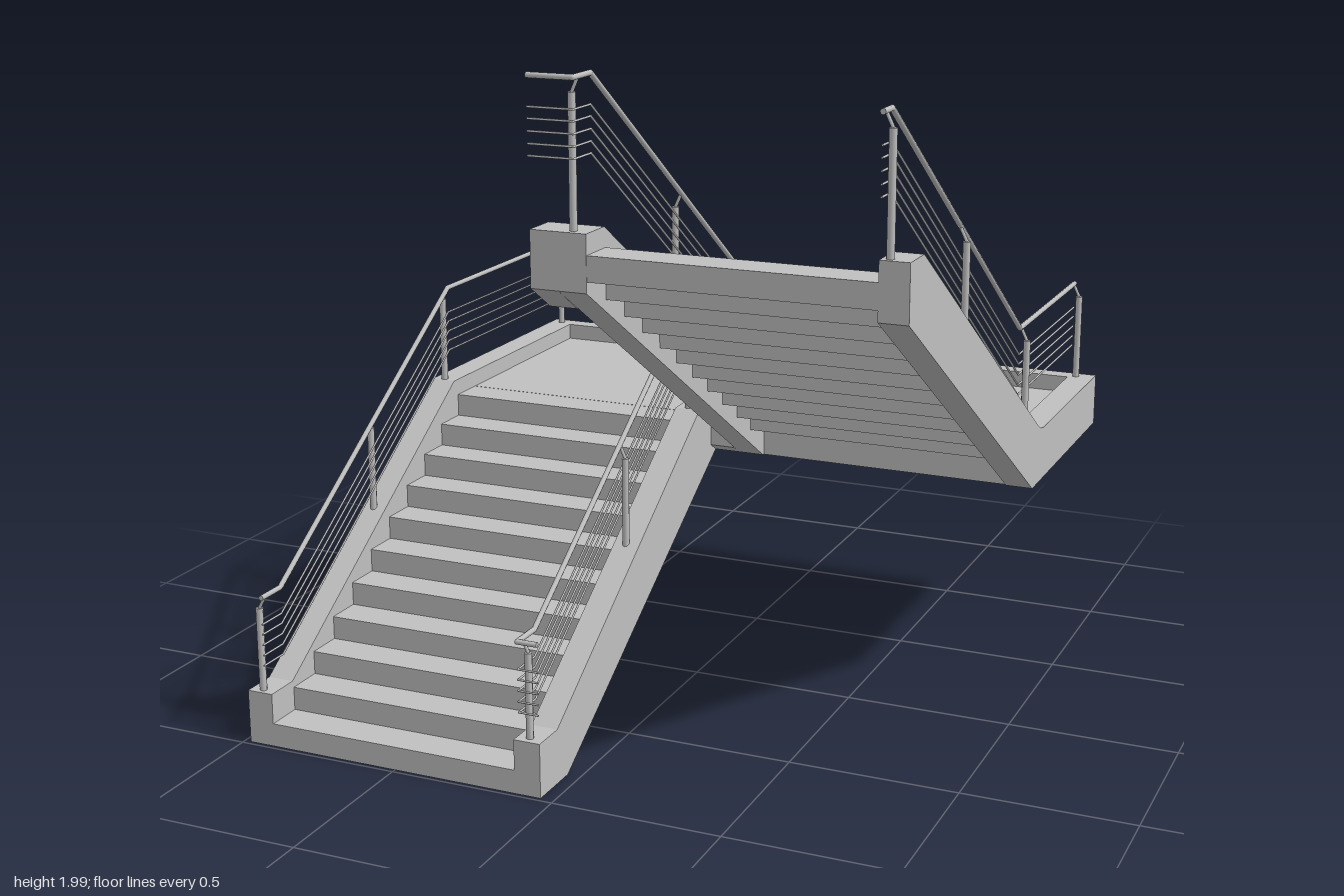
import * as THREE from 'three';
import { mergeGeometries } from 'three/addons/utils/BufferGeometryUtils.js';

const RISE = 0.0695, TREAD = 0.112, STEPS = 11;
const FLOOR = RISE * STEPS, CURB = 0.815, SOFFIT = 0.655, FRONT = 0.987;

export function createModel() {
  const model = new THREE.Group();
  model.name = 'staircase';
  const grey = new THREE.MeshStandardMaterial({ color: 0xc0c0c0 });
  grey.name = 'lightGrey';

  const add = (name, geometry, parent = model) => {
    const mesh = new THREE.Mesh(geometry, grey);
    mesh.name = name;
    parent.add(mesh);
    return mesh;
  };
  // box given by its two extreme corners
  const box = (name, x0, x1, y0, y1, z0, z1, parent) => {
    const g = new THREE.BoxGeometry(x1 - x0, y1 - y0, z1 - z0);
    g.translate((x0 + x1) / 2, (y0 + y1) / 2, (z0 + z1) / 2);
    return add(name, g, parent);
  };
  // side profile of [z, y] points, extruded from x0 to x1
  const profile = (name, points, x0, x1) => {
    const shape = new THREE.Shape(points.map(([z, y]) => new THREE.Vector2(z, y)));
    const g = new THREE.ExtrudeGeometry(shape, { depth: x1 - x0, bevelEnabled: false });
    g.rotateY(-Math.PI / 2);
    g.translate(x1, 0, 0);
    return add(name, g);
  };

  // stringers, each running on as the curb of the landing
  const lower = (end) => [[FRONT, 0], [FRONT, 0.16], [0.88, 0.16], [-0.11, CURB],
    [end, CURB], [end, SOFFIT], [-0.24, SOFFIT], [0.82, 0]];
  const upper = (end) => [[FRONT, 1.43], [FRONT, 1.585], [0.88, 1.585], [-0.285, 0.837],
    [-0.31, 0.824], [-0.34, 0.817], [Math.min(end, -0.36), CURB],
    [Math.min(end, -0.36), SOFFIT], [-0.24, SOFFIT]];
  profile('lowerOuterStringer', lower(-1), -0.98, -0.9);
  profile('lowerInnerStringer', lower(-0.345), -0.12, -0.04);
  profile('upperOuterStringer', upper(-1), 0.9, 0.98);
  profile('upperInnerStringer', upper(-0.345), 0.04, 0.12);

  // blocks closing the two ends of the stairwell
  profile('wellFrontBlock', [[FRONT, 1.43], [FRONT, 1.585], [0.88, 1.585], [0.88, 1.36]], -0.04, 0.04);
  profile('wellBackCurb', [[-0.345, SOFFIT], [-0.345, CURB], [-0.2, CURB], [-0.2, 0.68], [-0.24, SOFFIT]], -0.04, 0.04);

  // landing
  box('landingSlab', -0.9, 0.9, SOFFIT, FLOOR, -1, -0.247);
  box('landingBackCurb', -0.9, 0.9, FLOOR, CURB, -1, -0.945);

  // steps of both flights
  const lowerSteps = new THREE.Group(), upperSteps = new THREE.Group();
  lowerSteps.name = 'lowerSteps';
  upperSteps.name = 'upperSteps';
  model.add(lowerSteps, upperSteps);
  for (let i = 0; i < STEPS; i++) {
    const zLow = FRONT - i * TREAD, zUp = -0.247 + i * TREAD;
    box('step', -0.9, -0.12, i * RISE, (i + 1) * RISE, zLow - TREAD, zLow, lowerSteps);
    box('step', 0.12, 0.9, FLOOR + i * RISE, FLOOR + (i + 1) * RISE, zUp, zUp + TREAD, upperSteps);
  }

  // round rod between two points
  const rod = (a, b, r) => {
    const d = b.clone().sub(a);
    const g = new THREE.CylinderGeometry(r, r, d.length(), 8);
    g.applyQuaternion(new THREE.Quaternion().setFromUnitVectors(new THREE.Vector3(0, 1, 0), d.normalize()));
    return g.translate(...a.clone().add(b).multiplyScalar(0.5).toArray());
  };
  // rod along a path with rounded joints, lowered by drop
  const rail = (path, r, drop) => {
    const pts = path.map(([x, y, z]) => new THREE.Vector3(x, y - drop, z));
    const parts = [];
    pts.forEach((p, i) => {
      if (i === 0) return;
      parts.push(rod(pts[i - 1], p, r));
      if (i < pts.length - 1) parts.push(new THREE.SphereGeometry(r, 8, 6).translate(p.x, p.y, p.z));
    });
    return mergeGeometries(parts);
  };
  // posts are [x, base y, z, rail x, rail y]
  const railing = (name, path, posts) => {
    const group = new THREE.Group();
    group.name = name;
    model.add(group);
    add('handrail', rail(path, 0.008, 0), group);
    for (const drop of [0.08, 0.11, 0.142, 0.174, 0.205]) add('bar', rail(path, 0.003, drop), group);
    for (const [x, base, z, railX, top] of posts) {
      const neck = new THREE.Vector3(x, top - 0.04, z);
      add('post', rod(new THREE.Vector3(x, base - 0.02, z), neck, 0.011), group);
      add('postPin', rod(neck, new THREE.Vector3(railX, top, z), 0.005), group);
    }
  };

  const L = -0.92, R = 0.903, IL = -0.1, IR = 0.09, H = 1.12;
  railing('lowerOuterRailing',
    [[L, 0.45, 0.987], [L, 0.45, 0.89], [L, H, -0.12], [L, H, -0.975]],
    [[-0.942, 0.16, 0.965, L, 0.45], [-0.942, 0.52, 0.335, L, 0.815],
      [-0.942, CURB, -0.125, L, H], [-0.942, CURB, -0.965, L, H]]);
  railing('upperOuterRailing',
    [[R, 1.942, 0.987], [R, 1.942, 0.92], [R, H, -0.32], [R, H, -0.975]],
    [[0.922, 1.585, 0.965, R, 1.942], [0.922, 1.228, 0.325, R, 1.546],
      [0.922, CURB, -0.335, R, H], [0.922, CURB, -0.965, R, H]]);
  // one railing goes up, round the stairwell and up again
  railing('innerRailing',
    [[-0.04, 0.45, 0.99], [IL, 0.45, 0.99], [IL, 0.45, 0.89], [IL, H, -0.11], [IL, H, -0.32],
      [IR, H, -0.32], [IR, 1.98, 0.89], [IR, 1.98, 0.99], [-0.04, 1.98, 0.99]],
    [[-0.083, 0.16, 0.96, IL, 0.45], [-0.083, 0.52, 0.335, IL, 0.822], [-0.083, CURB, -0.125, IL, H],
      [-0.083, CURB, -0.305, IL, H], [0.072, CURB, -0.305, IR, H],
      [0.072, 1.225, 0.32, IR, 1.575], [0.072, 1.585, 0.96, IR, 1.98]]);

  return model;
}
